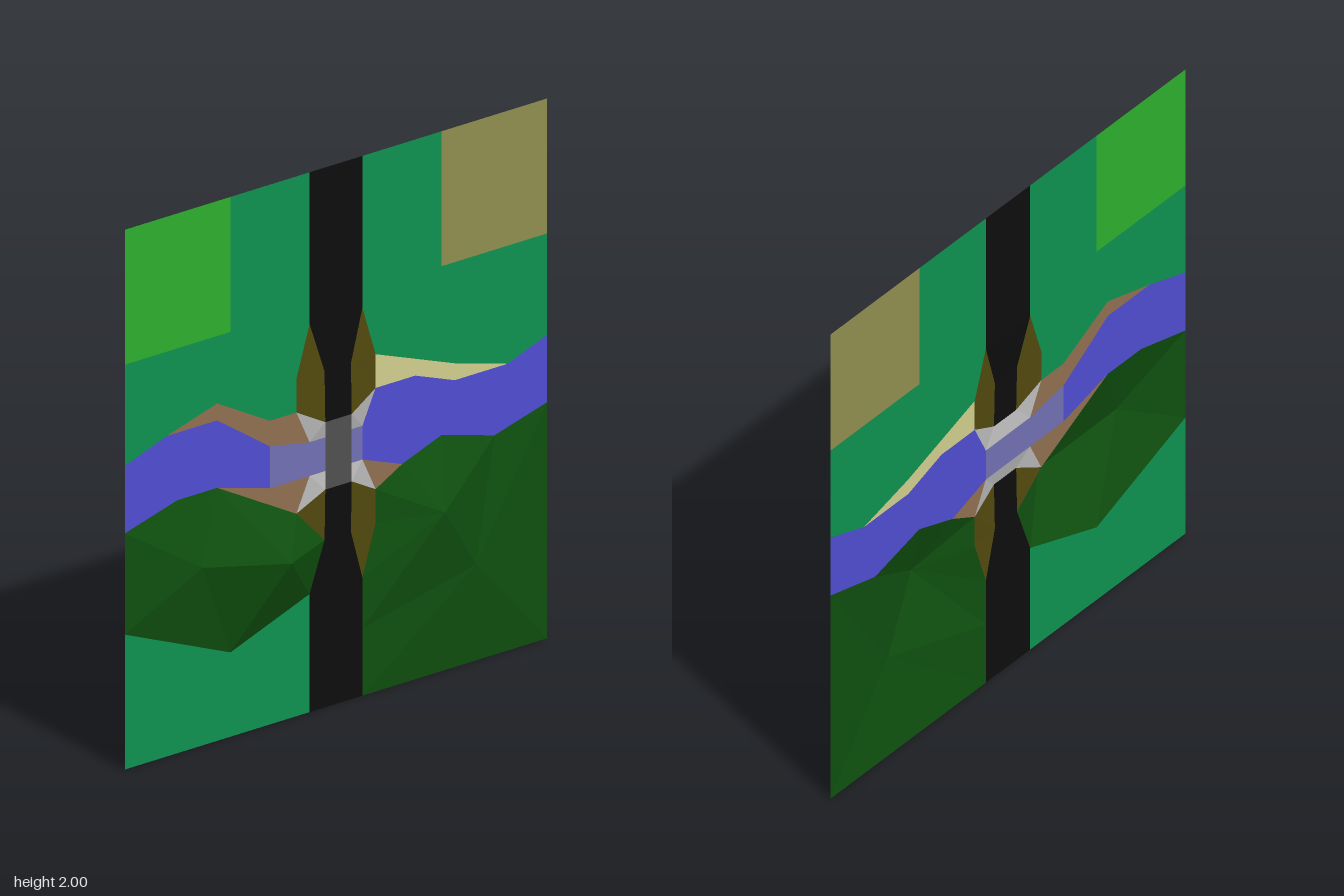
import * as THREE from 'three';

const BASE = -0.056;   // level of the flat ground
const RAMP = -0.047;   // halfway up the road ramps
const DECK = -0.043;   // bridge deck
const MID = 0.9375;    // y of the bridge centre line

const COLORS = {
  grass: 0x0f9150, meadow: 0x2eaf2e, field: 0x908f50, road: 0x0d0d0d,
  water: 0x504ed2, shade: 0x7270b4, mud: 0x917050, sand: 0xd2d08e,
  earth: 0x524a0e, stone: 0xb8b8b8, deck: 0x505050, hill: 0x0f500f,
};

const materials = {};
for (const [key, color] of Object.entries(COLORS)) {
  materials[key] = new THREE.MeshStandardMaterial({
    color, flatShading: true, side: THREE.DoubleSide,
  });
}

export function createModel() {
  const model = new THREE.Group();
  model.name = 'landscapeTile';

  function add(name, geometry, key) {
    const mesh = new THREE.Mesh(geometry, materials[key]);
    mesh.name = name;
    model.add(mesh);
  }

  // Flat region bounded by a ring of [x, y] points
  function patch(name, key, ring) {
    const shape = new THREE.Shape(ring.map(([x, y]) => new THREE.Vector2(x, y)));
    add(name, new THREE.ShapeGeometry(shape).translate(0, 0, BASE), key);
  }

  // Raised surface made of triangle fans; each fan starts with its hub
  function fans(name, key, list) {
    const pos = [];
    const put = ([x, y, z = BASE]) => pos.push(x, y, z);
    for (const [hub, ...rim] of list) {
      for (let i = 0; i + 1 < rim.length; i++) [hub, rim[i], rim[i + 1]].forEach(put);
    }
    const geometry = new THREE.BufferGeometry();
    geometry.setAttribute('position', new THREE.Float32BufferAttribute(pos, 3));
    geometry.computeVertexNormals();
    add(name, geometry, key);
  }

  // Meadow and ploughed field in the upper corners
  patch('meadow', 'meadow', [[-1, 1.5], [-0.5, 1.5], [-0.5, 2], [-1, 2]]);
  patch('field', 'field', [[0.5, 1.5], [1, 1.5], [1, 2], [0.5, 2]]);

  // Grassland
  patch('upperLeftGrass', 'grass', [
    [-1, 1.5], [-0.5, 1.5], [-0.5, 2], [-0.125, 2], [-0.125, 1.4375], [-0.1875, 1.25],
    [-0.1875, 1.125], [-0.3125, 1.125], [-0.5625, 1.25], [-0.8, 1.1875], [-1, 1.125]]);
  patch('upperRightGrass', 'grass', [
    [1, 1.5], [0.5, 1.5], [0.5, 2], [0.125, 2], [0.125, 1.4375], [0.1875, 1.25],
    [0.5625, 1.125], [0.8125, 1.0625], [1, 1.125]]);
  patch('lowerGrass', 'grass', [
    [-1, 0], [-0.125, 0], [-0.125, 0.4375], [-0.5, 0.3125], [-1, 0.5]]);

  // River and its shaded stretch under the bridge
  patch('leftRiver', 'water', [
    [-1, 1.125], [-0.8, 1.1875], [-0.5625, 1.1875], [-0.3125, 1.03],
    [-0.3125, 0.875], [-0.5625, 0.9375], [-0.75, 0.9375], [-1, 0.875]]);
  patch('bridgeRiver', 'shade', [
    [-0.3125, 1.03], [-0.125, 1], [0.125, 1], [0.125, 0.875], [-0.3125, 0.875]]);
  patch('rightRiver', 'water', [
    [0.125, 1], [0.1875, 1.125], [0.375, 1.125], [0.5625, 1.0625], [0.8125, 1.0625],
    [1, 1.125], [1, 0.875], [0.75, 0.8125], [0.5, 0.875], [0.3125, 0.8125], [0.125, 0.875]]);

  // River banks
  patch('upperLeftBank', 'mud', [
    [-0.8, 1.1875], [-0.5625, 1.25], [-0.3125, 1.125], [-0.1875, 1.125],
    [-0.125, 1], [-0.3125, 1.03], [-0.5625, 1.1875]]);
  patch('lowerLeftBank', 'mud', [
    [-0.5625, 0.9375], [-0.3125, 0.875], [-0.125, 0.875], [-0.1875, 0.75], [-0.3125, 0.8125]]);
  patch('lowerRightBank', 'mud', [[0.125, 0.875], [0.3125, 0.8125], [0.1875, 0.75]]);
  patch('sandBank', 'sand', [
    [0.1875, 1.25], [0.5625, 1.125], [0.8125, 1.0625], [0.5625, 1.0625],
    [0.375, 1.125], [0.1875, 1.125]]);

  // Road, ramps, embankments and abutments, mirrored about the bridge
  for (const sy of [1, -1]) {
    const end = sy > 0 ? 'upper' : 'lower';
    const p = (x, dy, z) => [x, MID + sy * dy, z];
    const edge = sy > 0 ? 2 : 0;
    patch(end + 'Road', 'road', [
      [-0.125, edge], [0.125, edge], p(0.125, 0.5), p(-0.125, 0.5)]);
    fans(end + 'Ramp', 'road', [
      [p(-0.125, 0.5), p(0.125, 0.5), p(0.0625, 0.3125, RAMP), p(-0.0625, 0.3125, RAMP)],
      [p(-0.0625, 0.3125, RAMP), p(0.0625, 0.3125, RAMP),
        p(0.0625, 0.125, DECK), p(-0.0625, 0.125, DECK)]]);
    fans(end + 'Abutment', 'stone', [
      [p(-0.0625, 0.125, DECK), p(0.0625, 0.125, DECK), p(0.0625, 0.0625), p(-0.0625, 0.0625)]]);

    for (const sx of [1, -1]) {
      const side = end + (sx > 0 ? 'Left' : 'Right');
      const q = (x, dy, z) => p(sx * x, dy, z);
      fans(side + 'WingWall', 'stone', [
        [q(0.0625, 0.125, DECK), q(0.1875, 0.1875), q(0.125, 0.0625), q(0.0625, 0.0625)]]);
      // The hill takes over the outer part of one embankment
      const outer = sx < 0 && sy < 0 ? [] : [q(0.1875, 0.3125), q(0.125, 0.5)];
      fans(side + 'Embankment', 'earth', [
        [q(0.0625, 0.3125, RAMP), q(0.0625, 0.125, DECK), q(0.1875, 0.1875), ...outer]]);
    }
  }

  // Bridge deck
  fans('bridgeDeck', 'deck', [[
    [-0.0625, 0.8125, DECK], [0.0625, 0.8125, DECK],
    [0.0625, 1.0625, DECK], [-0.0625, 1.0625, DECK]]]);

  // Hill with a ridge between two summits
  const west = [-0.6875, 0.6875, 0.005], east = [-0.3125, 0.625, 0.056];
  fans('ridgeHill', 'hill', [
    [west, east, [-0.5625, 0.9375], [-0.75, 0.9375], [-1, 0.875],
      [-1, 0.5], [-0.5, 0.3125], east],
    [east, [-0.5, 0.3125], [-0.125, 0.4375], [-0.0625, 0.625, RAMP],
      [-0.1875, 0.75], [-0.3125, 0.8125], [-0.5625, 0.9375]]]);

  // Broad hill filling the other lower corner
  const top = [0.4375, 0.625, 0.03], knoll = [0.625, 0.375, -0.015];
  fans('broadHill', 'hill', [
    [top, knoll, [0.125, 0.25], [0.125, 0.4375], [0.1875, 0.625], [0.1875, 0.75],
      [0.3125, 0.8125], [0.5, 0.875], [0.75, 0.8125], knoll],
    [knoll, [0.75, 0.8125], [1, 0.875], [1, 0], [0.125, 0], [0.125, 0.25]]]);

  return model;
}
